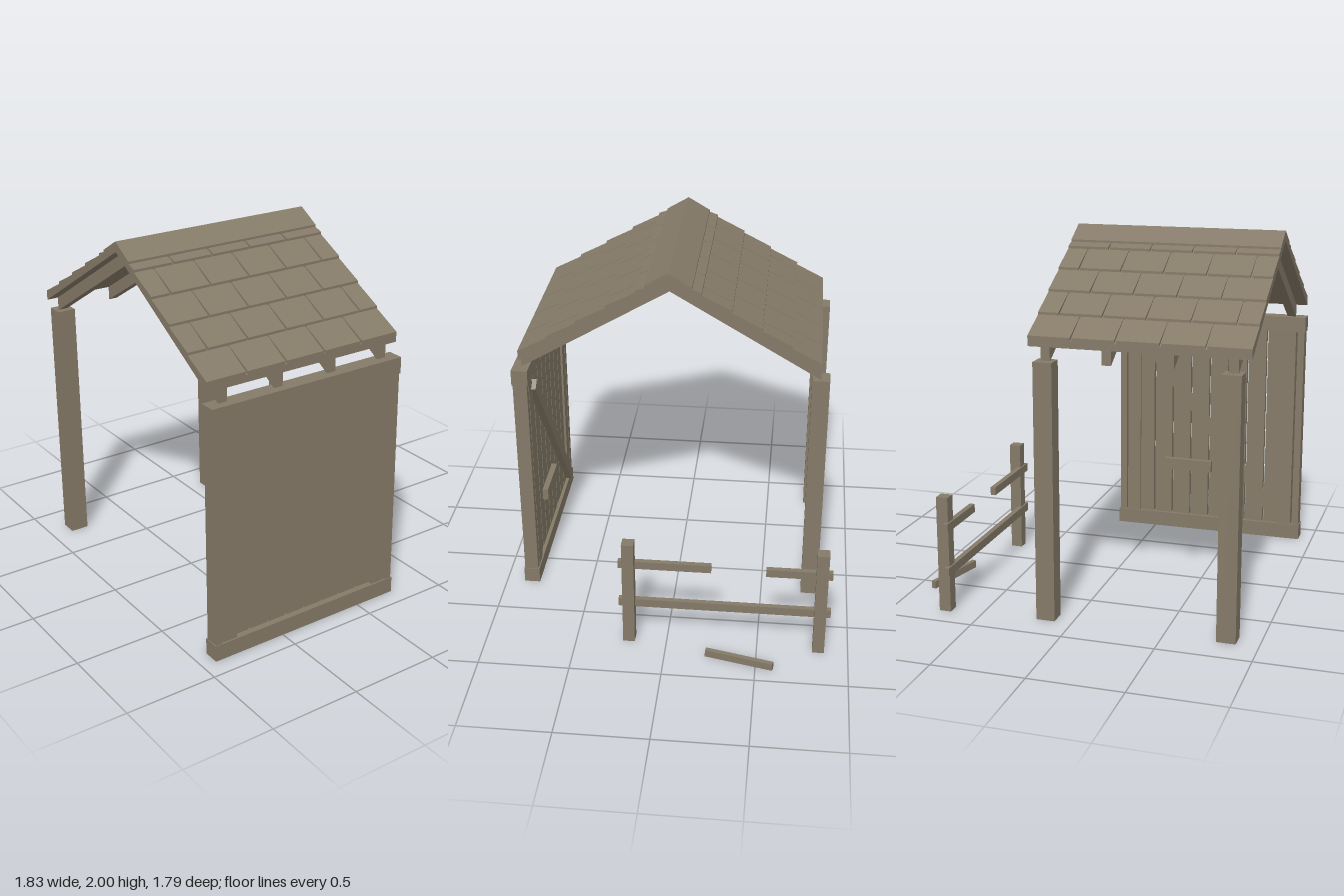
import * as THREE from 'three';

const wood = new THREE.MeshStandardMaterial({ color: 0x857a68 });
wood.name = 'weatheredWood';

// Box given by its limits on each axis
function board(parent, name, [x0, x1], [y0, y1], [z0, z1]) {
  const mesh = new THREE.Mesh(new THREE.BoxGeometry(x1 - x0, y1 - y0, z1 - z0), wood);
  mesh.position.set((x0 + x1) / 2, (y0 + y1) / 2, (z0 + z1) / 2);
  mesh.name = name;
  parent.add(mesh);
  return mesh;
}

function part(parent, name) {
  const group = new THREE.Group();
  group.name = name;
  parent.add(group);
  return group;
}

// Roof section: [run from ridge, depth below the roof line] outline, extruded along x
const RIDGE_Z = 0.035, RIDGE_Y = 2, SLOPE = 0.589, RUN = 0.815;
const LEFT = 0.24, RIGHT = -0.92;
function roofPiece(parent, name, side, x0, x1, outline) {
  const points = outline.map(([run, depth]) =>
    new THREE.Vector2(RIDGE_Z + side * run, RIDGE_Y - SLOPE * run - depth));
  const geometry = new THREE.ExtrudeGeometry(new THREE.Shape(points), { depth: x1 - x0, bevelEnabled: false });
  geometry.rotateY(-Math.PI / 2);
  const mesh = new THREE.Mesh(geometry, wood);
  mesh.position.x = x1;
  mesh.name = name;
  parent.add(mesh);
}
const strip = (r0, r1, top, bottom) => [[r0, top], [r1, top], [r1, bottom], [r0, bottom]];

function buildRoof(root) {
  const roof = part(root, 'roof');
  const rows = [[0.655, RUN], [0.495, 0.655], [0.335, 0.495], [0.175, 0.335], [0.12, 0.175]];
  for (const side of [-1, 1]) {
    roofPiece(roof, 'roofDeck', side, RIGHT, LEFT, strip(0, RUN, 0.018, 0.055));
    roofPiece(roof, 'ridgeBoard', side, RIGHT, LEFT, strip(0, 0.125, 0, 0.018));
    for (const x of [-0.83, -0.505, -0.18, 0.145]) {
      roofPiece(roof, 'rafter', side, x - 0.025, x + 0.025, strip(0, RUN, 0.055, 0.13));
    }
    // Tapered shingles with staggered joints
    rows.forEach(([r0, r1], i) => {
      const edges = [RIGHT - 0.005];
      for (let x = i % 2 ? -0.808 : -0.691; x < LEFT - 0.05; x += 0.233) edges.push(x);
      edges.push(LEFT + 0.005);
      for (let k = 0; k < edges.length - 1; k++) {
        roofPiece(roof, 'shingle', side, edges[k] + 0.005, edges[k + 1] - 0.005,
          [[r0, 0.013], [r1, 0], [r1, 0.02], [r0, 0.02]]);
      }
    });
  }
}

function buildWall(root) {
  const wall = part(root, 'plankWall');
  board(wall, 'bottomBeam', [RIGHT, LEFT], [0, 0.09], [0.805, 0.895]);
  board(wall, 'topBeam', [RIGHT, LEFT], [1.305, 1.395], [0.805, 0.895]);
  const height = [0.09, 1.305];
  for (const [x0, x1] of [[-0.915, -0.875], [0.193, 0.235]]) board(wall, 'outerPost', [x0, x1], height, [0.812, 0.89]);
  for (const [x0, x1] of [[-0.865, -0.785], [0.103, 0.185]]) board(wall, 'frameStile', [x0, x1], height, [0.812, 0.885]);
  for (let i = 0; i < 8; i++) {
    const x = -0.807 + i * 0.117;
    board(wall, 'plank', [Math.max(x + 0.005, -0.79), Math.min(x + 0.112, 0.108)], height, [0.825, 0.86]);
  }
  // Brace and patch on the inner face
  const brace = board(wall, 'diagonalBrace', [-0.7225, 0.7225], [-0.031, 0.031], [0.787, 0.826]);
  brace.position.set(-0.342, 0.685, 0.8065);
  brace.rotation.z = 0.899;
  board(wall, 'patchBoard', [-0.36, -0.06], [0.385, 0.455], [0.792, 0.826]);
}

function buildFence(root) {
  const fence = part(root, 'brokenFence');
  for (const z of [0.175, -0.87]) board(fence, 'fencePost', [0.672, 0.737], [0, 0.64], [z, z + 0.065]);
  const x = [0.663, 0.692];
  board(fence, 'lowerRail', x, [0.208, 0.256], [-0.895, 0.267]);
  board(fence, 'upperRailFront', x, [0.46, 0.506], [-0.24, 0.267]);
  board(fence, 'upperRailBack', x, [0.457, 0.503], [-0.895, -0.537]);
  const fallen = board(fence, 'fallenRail', [-0.013, 0.013], [0, 0.042], [-0.19, 0.19]);
  fallen.position.set(0.858, 0.021, -0.41);
  fallen.rotation.y = -0.226;
}

export function createModel() {
  const root = new THREE.Group();
  root.name = 'woodenShelter';
  buildRoof(root);
  buildWall(root);
  for (const x of [-0.88, 0.095]) board(root, 'backPost', [x, x + 0.102], [0, 1.395], [-0.828, -0.732]);
  buildFence(root);
  return root;
}
